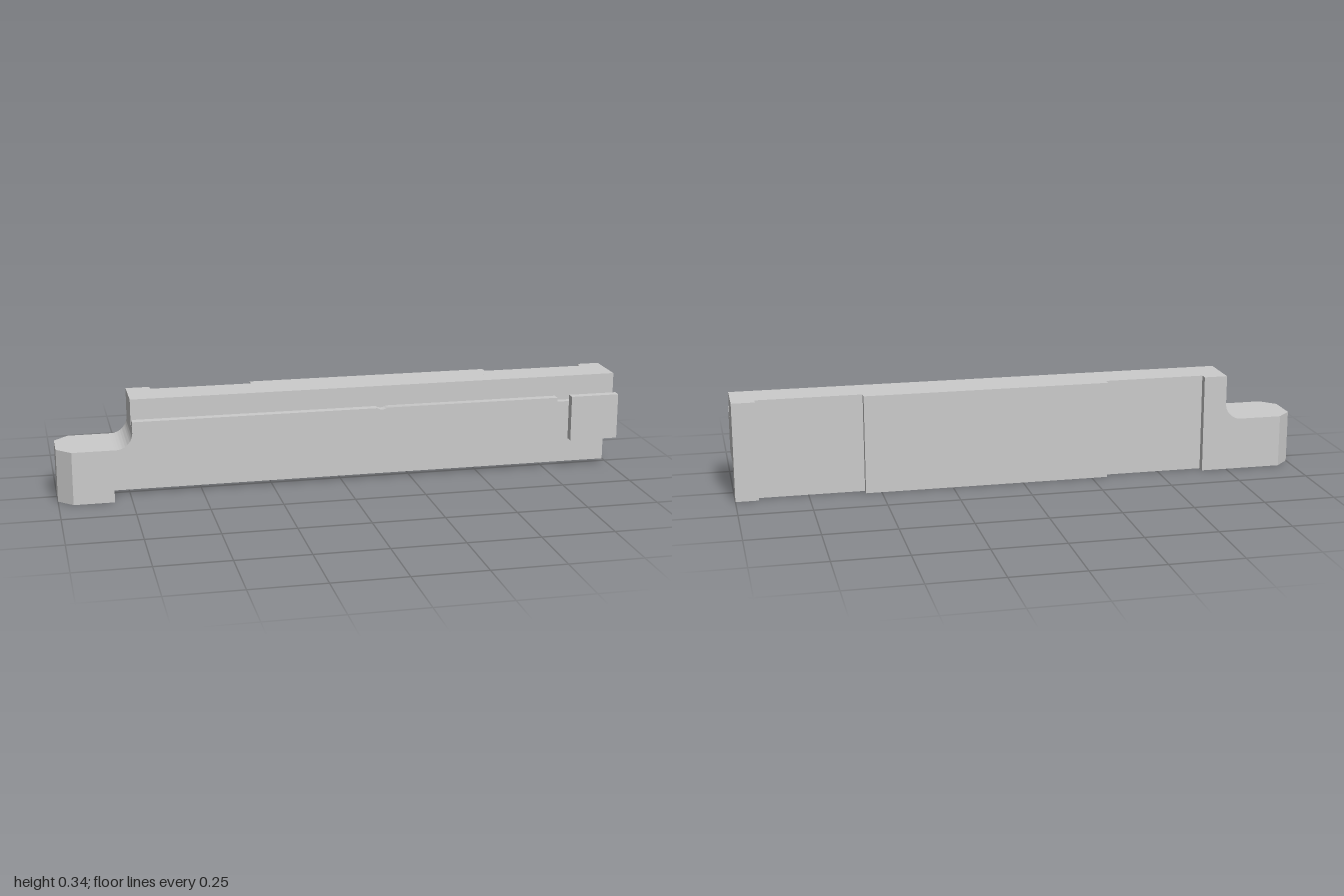
import * as THREE from 'three';
import { toCreasedNormals } from 'three/addons/utils/BufferGeometryUtils.js';

const HEAD = -0.81, STEP = -0.743, HEAD_TOP = 0.185, TOP = 0.345;
const BACK = -0.107, FRONT = 0.107, UNDER = 0.118;

export function createModel() {
  const group = new THREE.Group();
  const material = new THREE.MeshStandardMaterial({ color: 0xcccccc });

  const add = (name, geometry) => {
    const mesh = new THREE.Mesh(toCreasedNormals(geometry, 0.6), material);
    mesh.name = name;
    group.add(mesh);
  };

  // Side outline extruded between two depths
  const slab = (name, shape, z0, z1) => {
    const g = new THREE.ExtrudeGeometry(shape, { depth: z1 - z0, bevelEnabled: false, curveSegments: 14 });
    add(name, g.translate(0, 0, z0));
  };

  // Bar outline from the head to x1; optional undercut and a small dip in the top edge
  const outline = (x1, top, undercut, dip) => {
    const s = new THREE.Shape();
    if (undercut) {
      const r = 0.06;
      s.moveTo(HEAD, UNDER - r);
      s.absarc(HEAD + r, UNDER - r, r, Math.PI, Math.PI / 2, true);
      s.lineTo(x1, UNDER);
    } else {
      s.moveTo(HEAD, 0);
      s.lineTo(x1, 0);
    }
    s.lineTo(x1, top);
    if (dip) {
      s.lineTo(0.147, top);
      s.quadraticCurveTo(0.128, top - 0.012, 0.11, top);
    }
    s.lineTo(STEP, top);
    // concave fillet down to the head
    const r = 0.058;
    s.lineTo(STEP, HEAD_TOP + r);
    s.absarc(STEP - r, HEAD_TOP + r, r, 0, -Math.PI / 2, true);
    s.lineTo(HEAD, HEAD_TOP);
    s.closePath();
    return s;
  };

  const rect = (x0, x1, y0, y1) => new THREE.Shape([
    new THREE.Vector2(x0, y0), new THREE.Vector2(x1, y0),
    new THREE.Vector2(x1, y1), new THREE.Vector2(x0, y1),
  ]);

  // Low head with chamfered end corners, drawn in plan and extruded upward
  const c = 0.05;
  const plan = new THREE.Shape([
    [HEAD, BACK], [HEAD, FRONT], [-1 + c, FRONT], [-1, FRONT - c], [-1, BACK + c], [-1 + c, BACK],
  ].map(([x, z]) => new THREE.Vector2(x, -z)));
  add('head', new THREE.ExtrudeGeometry(plan, { depth: HEAD_TOP, bevelEnabled: false }).rotateX(-Math.PI / 2));

  // Raised pads on the back, leaving two shallow recesses
  slab('backPadHead', outline(-0.66, TOP), BACK, -0.08);
  slab('backPadMiddle', rect(-0.305, 0.555, 0, TOP), BACK, -0.08);
  slab('backPadEnd', rect(0.92, 1, 0, TOP), BACK, -0.08);

  // Main bar: full-height web, undercut shoulder, groove floor
  slab('web', outline(1, TOP), -0.08, -0.024);
  slab('shoulder', outline(1, TOP, true), -0.024, 0.052);
  slab('grooveFloor', outline(1, 0.257, true), 0.052, 0.077);

  // Front lip, interrupted by a vertical slot
  slab('frontLip', outline(0.77, 0.28, true, true), 0.077, FRONT);
  slab('frontLipEnd', rect(0.825, 1, UNDER, 0.28), 0.077, FRONT);

  return group;
}
